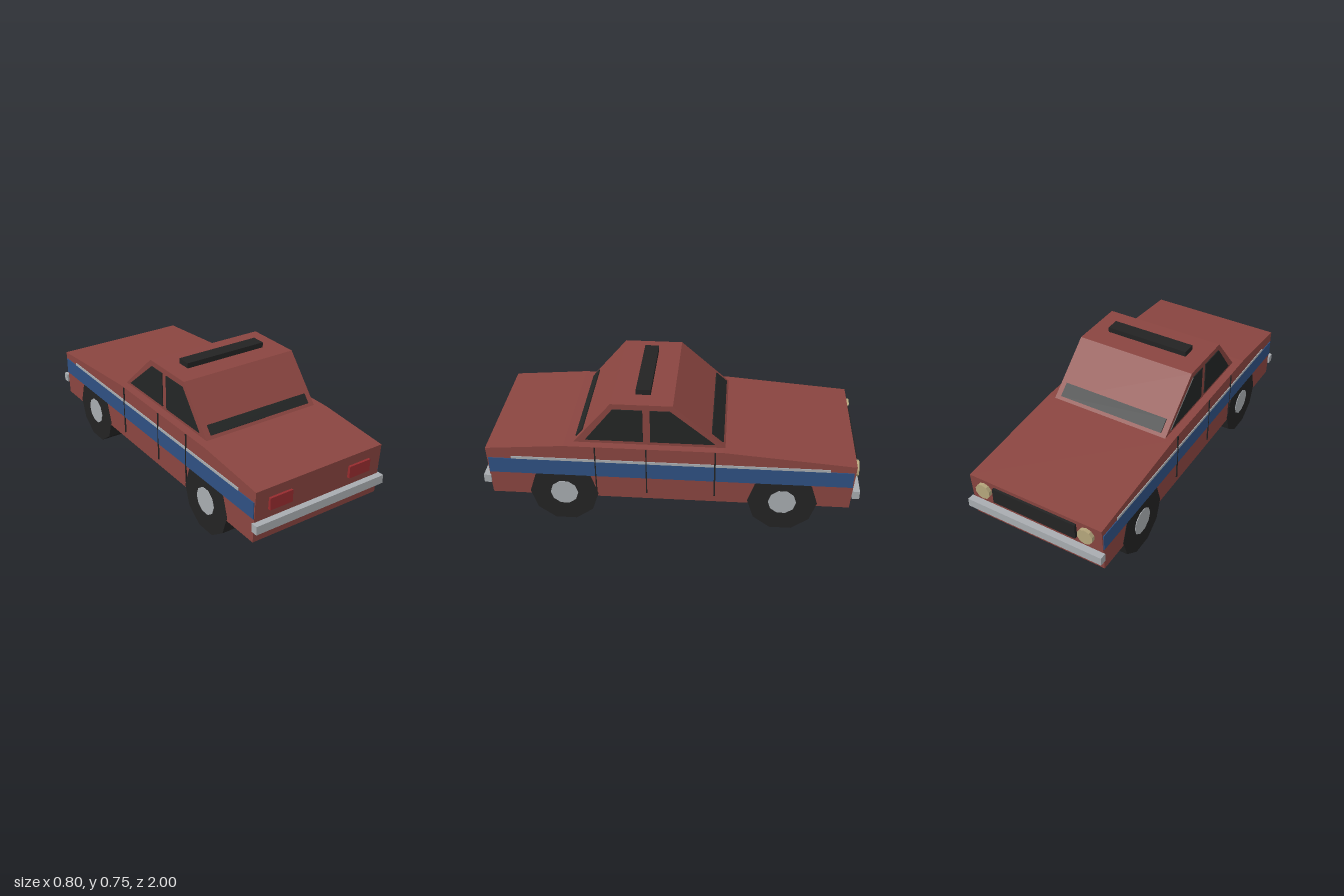
import * as THREE from 'three';

const mat = (name, color) => new THREE.MeshStandardMaterial({ name, color });

export function createModel() {
  const car = new THREE.Group();
  car.name = 'car';
  const paint = mat('red paint', 0x8a4540);
  const blue = mat('blue stripe', 0x2f5082);
  const chrome = mat('chrome', 0xa8acb0);
  const rubber = mat('black rubber', 0x232323);
  const glass = mat('dark glass', 0x232625);
  const lampRed = mat('red lamp', 0x962b2e);
  const lampCream = mat('cream lamp', 0xb5a67c);

  const add = (name, geometry, material, x = 0, y = 0, z = 0) => {
    const mesh = new THREE.Mesh(geometry, material);
    mesh.name = name;
    mesh.position.set(x, y, z);
    car.add(mesh);
    return mesh;
  };

  // Box given by its limits on each axis
  const box = (name, material, [x0, x1], [y0, y1], [z0, z1]) =>
    add(name, new THREE.BoxGeometry(x1 - x0, y1 - y0, z1 - z0), material,
      (x0 + x1) / 2, (y0 + y1) / 2, (z0 + z1) / 2);

  // Side profile of [z, y] points, extruded across the car around x
  const profile = (name, material, points, width, x = 0) => {
    const shape = new THREE.Shape(points.map(([z, y]) => new THREE.Vector2(-z, y)));
    const geometry = new THREE.ExtrudeGeometry(shape, { depth: width, bevelEnabled: false });
    geometry.translate(0, 0, -width / 2).rotateY(Math.PI / 2);
    return add(name, geometry, material, x);
  };

  // Body and cabin
  profile('body', paint, [[0.96, 0.167], [0.976, 0.452], [0.56, 0.486], [-0.28, 0.486],
    [-0.972, 0.43], [-0.955, 0.167]], 0.78);
  profile('cabin', paint, [[0.516, 0.48], [0.307, 0.728], [-0.015, 0.728], [-0.295, 0.48]], 0.69);
  box('roofBar', rubber, [-0.242, 0.242], [0.725, 0.757], [0.108, 0.186]);

  // Glass strips lying on the sloped screens
  profile('rearScreen', glass, [[0.499, 0.5], [0.463, 0.543], [0.468, 0.547], [0.504, 0.504]], 0.624);
  profile('windscreen', glass, [[-0.272, 0.5], [-0.214, 0.551], [-0.219, 0.556], [-0.279, 0.503]], 0.624);

  // Bumpers, grille and lamps
  box('rearBumper', chrome, [-0.4, 0.4], [0.235, 0.282], [0.962, 1]);
  box('frontBumper', chrome, [-0.4, 0.4], [0.235, 0.282], [-1, -0.962]);
  box('grille', rubber, [-0.245, 0.245], [0.32, 0.408], [-0.984, -0.96]);

  for (const s of [-1, 1]) {
    const span = (a, b) => (s > 0 ? [a, b] : [-b, -a]);

    box('tailLamp', lampRed, span(0.178, 0.312), [0.332, 0.398], [0.96, 0.986]);
    const headlamp = new THREE.CylinderGeometry(0.044, 0.044, 0.03, 10).rotateX(Math.PI / 2);
    add('headlamp', headlamp, lampCream, s * 0.304, 0.367, -0.975);

    // Side windows
    profile('rearSideWindow', glass,
      [[0.447, 0.505], [0.297, 0.697], [0.142, 0.697], [0.142, 0.505]], 0.008, s * 0.346);
    profile('frontSideWindow', glass,
      [[0.104, 0.505], [0.104, 0.697], [0, 0.697], [-0.235, 0.505]], 0.008, s * 0.346);

    // Stripes and door seams
    box('sideStripe', blue, span(0.388, 0.3945), [0.302, 0.393], [-0.96, 0.965]);
    box('sideTrim', chrome, span(0.388, 0.394), [0.393, 0.408], [-0.838, 0.842]);
    for (const [z, w] of [[0.393, 0.006], [0.123, 0.006], [-0.238, 0.008]]) {
      box('doorSeam', rubber, span(0.388, 0.3955), [0.205, 0.485], [z - w / 2, z + w / 2]);
    }

    // Wheels
    for (const z of [0.57, -0.6]) {
      const tyre = new THREE.CylinderGeometry(0.185, 0.185, 0.146, 10).rotateZ(Math.PI / 2);
      add('tyre', tyre, rubber, s * 0.319, 0.185, z);
      const hub = new THREE.CylinderGeometry(0.075, 0.075, 0.01, 10).rotateZ(Math.PI / 2);
      add('hubcap', hub, chrome, s * 0.39, 0.185, z);
    }
  }
  for (const part of car.children) part.material.flatShading = true;
  return car;
}
